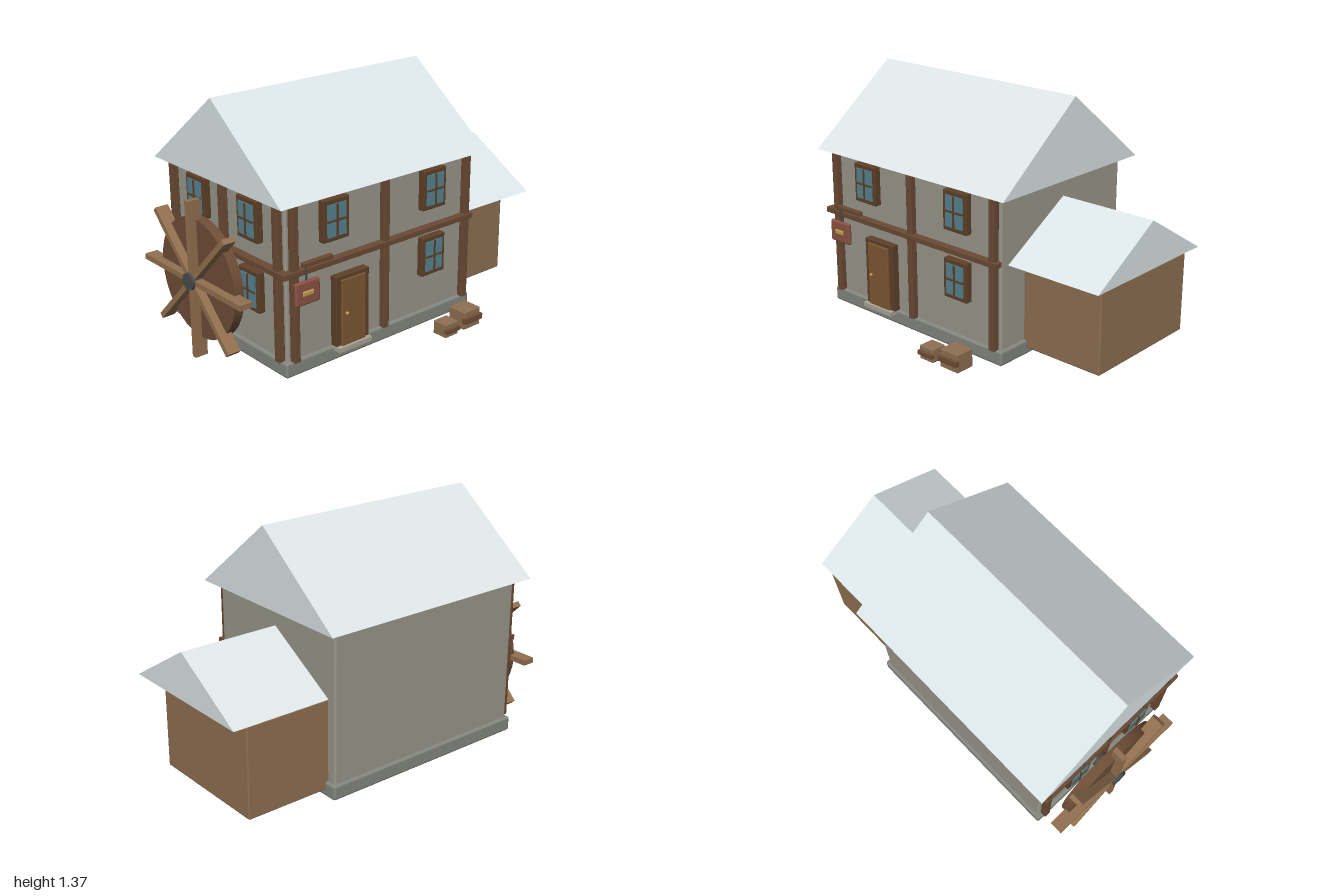
import * as THREE from 'three';
import { RoundedBoxGeometry } from 'three/addons/geometries/RoundedBoxGeometry.js';

const mat = (color) => new THREE.MeshStandardMaterial({ color });
const M = {
  wall: mat(0x9a988b), stone: mat(0x84877f), step: mat(0xaaa595), snow: mat(0xdde6e8),
  timber: mat(0x6b4a34), frame: mat(0x5e4029), door: mat(0x7e5733), plank: mat(0x8f7052),
  strap: mat(0x6e4d33), glass: mat(0x568390), iron: mat(0x4a4d50), brass: mat(0xc2a04c),
  sign: mat(0x8c5343), rim: mat(0x6f4e37), paddle: mat(0x947150),
};

// Box given by its extents on each axis; r rounds the edges
function box(parent, name, material, [x0, x1], [y0, y1], [z0, z1], r = 0) {
  const size = [x1 - x0, y1 - y0, z1 - z0];
  const geo = r ? new RoundedBoxGeometry(...size, 2, r) : new THREE.BoxGeometry(...size);
  const mesh = new THREE.Mesh(geo, material);
  mesh.name = name;
  mesh.position.set((x0 + x1) / 2, (y0 + y1) / 2, (z0 + z1) / 2);
  parent.add(mesh);
  return mesh;
}

function group(parent, name) {
  const g = new THREE.Group();
  g.name = name;
  parent.add(g);
  return g;
}

// Gable roof: closed triangular prism with its ridge along x
function gable(parent, name, [x0, x1], [y0, y1], [z0, z1]) {
  const shape = new THREE.Shape([
    new THREE.Vector2(-z1, y0), new THREE.Vector2(-z0, y0), new THREE.Vector2(-(z0 + z1) / 2, y1),
  ]);
  const geo = new THREE.ExtrudeGeometry(shape, { depth: x1 - x0, bevelEnabled: false });
  geo.rotateY(Math.PI / 2).translate(x0, 0, 0);
  const mesh = new THREE.Mesh(geo, M.snow);
  mesh.name = name;
  parent.add(mesh);
}

// Window on a wall whose surface is local z = 0
function addWindow(wall, x, y) {
  const g = group(wall, 'window');
  g.position.set(x, y, 0);
  box(g, 'windowFrame', M.frame, [-0.081, 0.081], [-0.108, 0.108], [-0.01, 0.038], 0.005);
  box(g, 'windowGlass', M.glass, [-0.059, 0.059], [-0.084, 0.084], [0.03, 0.044]);
  box(g, 'verticalMullion', M.frame, [-0.005, 0.005], [-0.084, 0.084], [0.03, 0.049]);
  box(g, 'horizontalMullion', M.frame, [-0.059, 0.059], [-0.005, 0.005], [0.03, 0.049]);
}

// Posts and rail on a wall whose surface is local z = 0
function addTimbers(wall, posts, rail) {
  for (const x of posts) box(wall, 'post', M.timber, [x - 0.018, x + 0.018], [0.125, 0.947], [0, 0.037], 0.003);
  box(wall, 'rail', M.timber, rail, [0.582, 0.611], [0, 0.044], 0.003);
}

function addCrate(parent, [x0, x1], height, [z0, z1]) {
  const g = group(parent, 'crate');
  const mid = 0.045 + height * 0.52;
  box(g, 'crateBody', M.plank, [x0, x1], [0.045, 0.045 + height], [z0, z1], 0.004);
  box(g, 'crateStrap', M.strap, [x0 - 0.004, x1 + 0.004], [mid - height * 0.16, mid + height * 0.16], [z1 - 0.008, z1 + 0.016], 0.003);
}

export function createModel() {
  const model = new THREE.Group();
  model.name = 'waterMill';

  // Main house
  box(model, 'foundation', M.stone, [-0.82, 0.455], [0.045, 0.128], [-0.582, 0.411], 0.014);
  box(model, 'houseWalls', M.wall, [-0.8, 0.437], [0.11, 0.96], [-0.564, 0.392], 0.012);
  gable(model, 'mainRoof', [-0.865, 0.502], [0.948, 1.372], [-0.627, 0.455]);

  // Side shed
  box(model, 'shedWalls', M.plank, [0.4, 0.922], [0.082, 0.577], [-0.512, 0.213], 0.008);
  gable(model, 'shedRoof', [0.4, 0.995], [0.577, 0.836], [-0.515, 0.341]);

  // Front wall details
  const front = group(model, 'frontFacade');
  front.position.z = 0.391;
  addTimbers(front, [-0.763, -0.179, 0.402], [-0.84, 0.44]);
  addWindow(front, -0.513, 0.812);
  addWindow(front, 0.154, 0.812);
  addWindow(front, 0.154, 0.443);

  // Door
  const door = group(front, 'door');
  box(door, 'doorFrame', M.frame, [-0.522, -0.306], [0.125, 0.508], [-0.01, 0.043], 0.005);
  box(door, 'doorPanel', M.door, [-0.493, -0.336], [0.128, 0.488], [0.02, 0.054], 0.004);
  box(door, 'doorStep', M.step, [-0.524, -0.308], [0.106, 0.13], [0.01, 0.07]);
  const knob = new THREE.Mesh(new THREE.SphereGeometry(0.009, 16, 12), M.brass);
  knob.name = 'doorKnob';
  knob.position.set(-0.466, 0.307, 0.06);
  door.add(knob);

  // Hanging sign
  const sign = group(front, 'hangingSign');
  box(sign, 'signArm', M.timber, [-0.733, -0.55], [0.625, 0.647], [0.03, 0.057], 0.003);
  box(sign, 'signHanger', M.iron, [-0.717, -0.709], [0.55, 0.63], [0.044, 0.052]);
  box(sign, 'signBoard', M.sign, [-0.787, -0.637], [0.433, 0.556], [0.038, 0.063], 0.01);
  box(sign, 'signPlate', M.brass, [-0.747, -0.679], [0.481, 0.508], [0.05, 0.069], 0.006);

  // Left wall details: local x runs along world z
  const left = group(model, 'leftFacade');
  left.rotation.y = -Math.PI / 2;
  left.position.x = -0.799;
  addTimbers(left, [-0.525, -0.085, 0.355], [-0.56, 0.43]);
  for (const z of [-0.3, 0.14]) for (const y of [0.812, 0.443]) addWindow(left, z, y);

  // Water wheel, axle along x
  const wheel = group(model, 'waterWheel');
  wheel.position.set(0, 0.429, -0.157);
  const disc = (name, radius, [x0, x1], sides, material) => {
    const mesh = new THREE.Mesh(new THREE.CylinderGeometry(radius, radius, x1 - x0, sides).rotateZ(Math.PI / 2), material);
    mesh.name = name;
    mesh.position.x = (x0 + x1) / 2;
    wheel.add(mesh);
  };
  disc('wheelDisc', 0.324, [-0.94, -0.885], 32, M.rim);
  disc('axle', 0.046, [-1, -0.84], 20, M.iron);
  for (let i = 0; i < 4; i++) {
    const bar = box(wheel, 'paddleBar', M.paddle, [-0.984, -0.911], [-0.428, 0.428], [-0.015, 0.015]);
    bar.rotation.x = (i * Math.PI) / 4;
  }

  // Crates in front
  addCrate(model, [0.074, 0.168], 0.074, [0.522, 0.612]);
  addCrate(model, [0.216, 0.338], 0.1, [0.497, 0.608]);

  return model;
}
